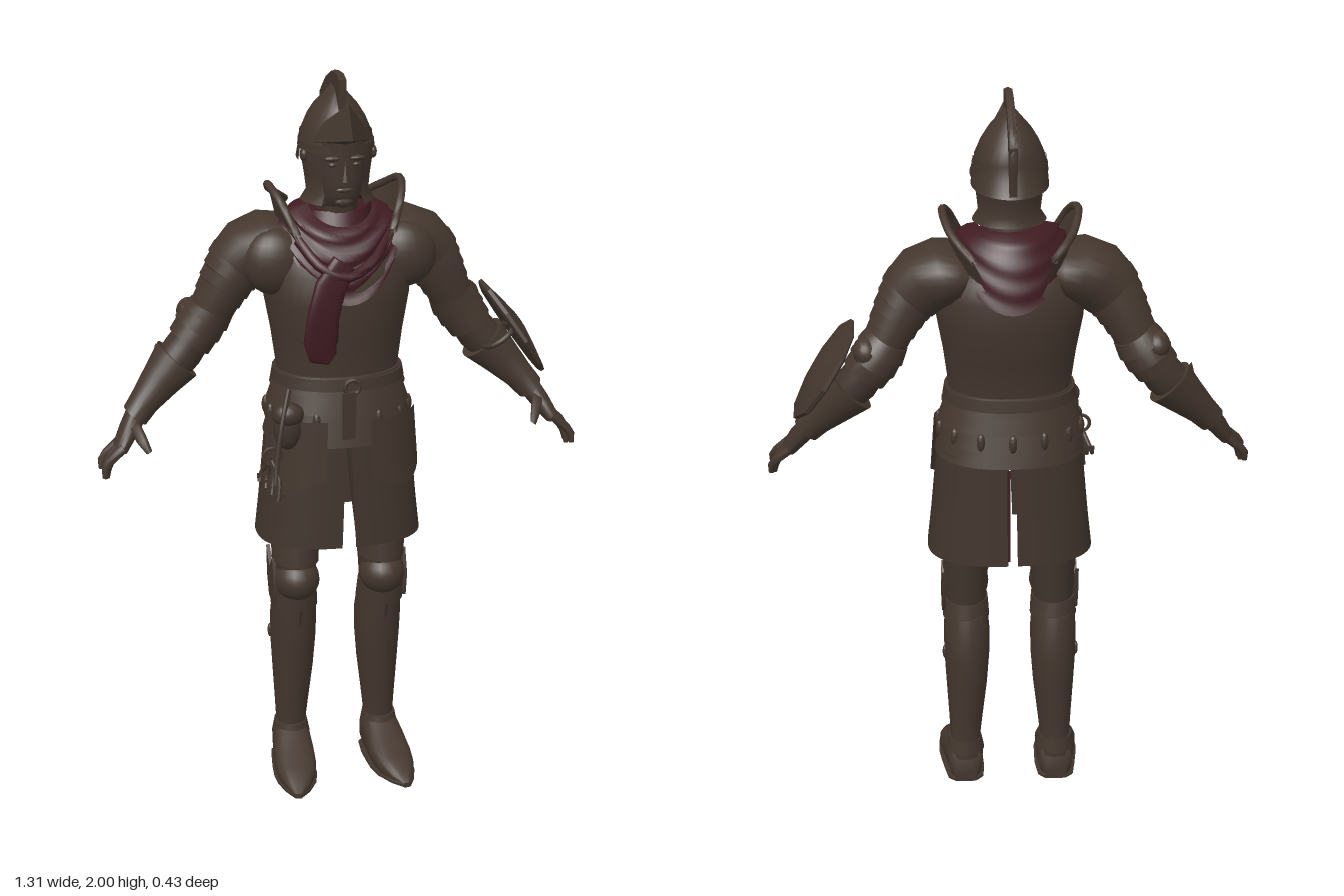
import * as THREE from 'three';
import { toCreasedNormals } from 'three/addons/utils/BufferGeometryUtils.js';
import { ConvexGeometry } from 'three/addons/geometries/ConvexGeometry.js';

const paint = (name, color) => new THREE.MeshStandardMaterial({ name, color, side: THREE.DoubleSide });
const V = (x, y, z) => new THREE.Vector3(x, y, z);

export function createModel() {
  const root = new THREE.Group();
  root.name = 'armouredFigure';
  const plate = paint('dark bronze plate', 0x44372e);
  const leather = paint('brown leather', 0x41352d);
  const skin = paint('dusky skin', 0x43362e);
  const red = paint('deep red cloth', 0x3f1b21);

  function add(name, geo, mat = plate, crease = 0.6) {
    const m = new THREE.Mesh(toCreasedNormals(geo, crease), mat);
    m.name = name;
    root.add(m);
  }

  // surface from a rule f(u, v) returning a point
  function grid(f, nu, nv) {
    const pos = [], idx = [];
    for (let j = 0; j <= nv; j++)
      for (let i = 0; i <= nu; i++) pos.push(...f(i / nu, j / nv).toArray());
    for (let j = 0; j < nv; j++)
      for (let i = 0; i < nu; i++) {
        const a = j * (nu + 1) + i, c = a + nu + 1;
        idx.push(a, c, a + 1, a + 1, c, c + 1);
      }
    const g = new THREE.BufferGeometry();
    g.setAttribute('position', new THREE.Float32BufferAttribute(pos, 3));
    g.setIndex(idx);
    return g;
  }
  // rounded-square version of a sine or cosine
  const square = (t, p) => Math.sign(t) * Math.pow(Math.abs(t), 2 / p);

  // skin over rings [x, y, z, radius across, radius in z], square to the path
  function loft(pts, { seg = 28, p = 2, caps = true, from = 0, to = Math.PI * 2 } = {}) {
    const rings = pts.map((q, i) => {
      const a = pts[Math.max(i - 1, 0)], b = pts[Math.min(i + 1, pts.length - 1)];
      const dx = b[0] - a[0], dy = b[1] - a[1], l = Math.hypot(dx, dy) || 1;
      return { c: V(q[0], q[1], q[2]), u: V(dy / l, -dx / l, 0), a: q[3], b: q[4] ?? q[3] };
    });
    if (caps) {
      rings.unshift({ ...rings[0], a: 0, b: 0 });
      rings.push({ ...rings[rings.length - 1], a: 0, b: 0 });
    }
    return grid((u, v) => {
      const r = rings[Math.round(v * (rings.length - 1))], t = from + (to - from) * u;
      const o = r.c.clone().addScaledVector(r.u, r.a * square(Math.cos(t), p));
      o.z += r.b * square(Math.sin(t), p);
      return o;
    }, seg, rings.length - 1);
  }

  // overlapping bands along a path of rings
  function lames(pts, n, flare = 1.07) {
    const at = t => {
      const k = Math.min(Math.floor(t * (pts.length - 1)), pts.length - 2), f = t * (pts.length - 1) - k;
      return pts[k].map((a, i) => a + (pts[k + 1][i] - a) * f);
    };
    const out = [];
    for (let i = 0; i < n; i++) {
      const a = at(i / n), b = at((i + 1) / n);
      out.push(a, [b[0], b[1], b[2], b[3] * flare, b[4] * flare]);
    }
    return out;
  }
  const flip = (s, pts) => pts.map(q => [q[0] * s, ...q.slice(1)]);
  const column = rows => rows.map(([y, x, z, a, b]) => [x, y, z, a, b]);
  const tube = (pts, r, n = 12) => new THREE.TubeGeometry(new THREE.CatmullRomCurve3(pts.map(q => V(...q))), n, r, 8);
  const ball = (x, y, z, a, b, c) => new THREE.SphereGeometry(1, 20, 14).scale(a, b, c).translate(x, y, z);
  // plate drawn in the side plane (z, y)
  const sidePlate = (pts, t, x) => new THREE.ExtrudeGeometry(new THREE.Shape(pts.map(q => new THREE.Vector2(...q))),
    { depth: t, bevelEnabled: false }).rotateY(-Math.PI / 2).translate(x + t / 2, 0, 0);

  // torso
  add('cuirass', loft(column([[1.15, 0, -.01, .168, .132], [1.2, 0, -.01, .165, .13], [1.3, 0, -.015, .178, .15],
    [1.4, 0, -.02, .196, .168], [1.48, 0, -.025, .202, .165], [1.53, 0, -.03, .18, .147], [1.58, 0, -.03, .13, .115],
    [1.61, 0, -.03, .08, .08]]), { seg: 40, p: 2.2 }), plate, 0.9);
  add('fauld', loft(lames(column([[1.2, 0, -.008, .167, .134], [1.1, 0, -.008, .186, .148], [1.01, 0, -.01, .195, .158]]), 4, 1.04)
    .reverse(), { seg: 40, p: 2.3 }));
  add('belt', loft(column([[1.165, 0, -.008, .181, .148], [1.195, 0, -.008, .176, .144]]), { seg: 40, p: 2.2 }), leather);
  add('buckle', new THREE.TorusGeometry(.02, .007, 8, 16).translate(.01, 1.178, .143));
  add('beltTail', new THREE.BoxGeometry(.035, .13, .01).translate(0, 1.1, .152), leather);
  for (let i = 0; i < 14; i++) {
    const t = (i + .5) / 14 * Math.PI * 2;
    add('fauldTab', ball(.195 * Math.cos(t), 1.08, -.01 + .156 * Math.sin(t), .011, .026, .011), leather);
  }

  // split skirt with a tasset over each front half
  const skirt = column([[1.03, 0, -.008, .196, .155], [.93, 0, -.008, .205, .157], [.82, 0, -.008, .215, .16], [.72, 0, -.008, .226, .163]]);
  for (const s of [1, -1]) {
    add('skirtHalf', grid((u, v) => {
      const q = skirt[Math.round(v * 3)], gap = .015 + .03 * v;
      const t = -Math.PI / 2 + .025 + u * (Math.PI - .025 - gap);
      return V(s * Math.max(q[3] * square(Math.cos(t), 2.5), .003 + .01 * v), q[1], q[2] + q[4] * square(Math.sin(t), 2.5));
    }, 28, 3), leather);
    add('tasset', grid((u, v) => {
      const t = .25 + 1.1 * u, low = .92 - .05 * (1 - Math.abs(2 * u - 1));
      return V(s * (.208 + .012 * v) * square(Math.cos(t), 2.4), 1.085 + (low - 1.085) * v, -.008 + (.164 + .006 * v) * square(Math.sin(t), 2.4));
    }, 12, 3));
  }
  add('skirtLining', new THREE.BoxGeometry(.007, .27, .004).translate(.011, .87, -.17), red);

  // head
  add('head', loft(column([[1.58, 0, -.02, .06, .06], [1.65, 0, -.01, .055, .06], [1.66, 0, .025, .045, .06],
    [1.69, 0, .02, .058, .074], [1.73, 0, .015, .067, .082], [1.78, 0, .01, .072, .088], [1.83, 0, .01, .074, .09]]), { p: 2.2 }), skin, 1);
  add('nose', new THREE.ConeGeometry(.014, .055, 8).scale(.9, 1, 1.2).translate(0, 1.757, .098), skin);
  add('mouth', ball(0, 1.705, .092, .024, .007, .007), skin);
  add('chin', ball(0, 1.672, .073, .028, .018, .02), skin);
  for (const s of [1, -1]) {
    add('brow', ball(s * .03, 1.79, .089, .025, .008, .01), skin);
    add('eye', ball(s * .03, 1.773, .086, .014, .007, .01), leather);
    add('cheekRivet', ball(s * .093, 1.785, .01, .01, .018, .018));
  }

  // helmet
  add('helmetBowl', loft(column([[1.8, 0, -.02, .098, .115], [1.84, 0, -.022, .093, .116], [1.88, 0, -.022, .076, .1],
    [1.91, 0, -.02, .057, .082], [1.935, 0, -.015, .035, .055], [1.96, 0, -.015, .014, .03]])), plate, 1);
  add('helmetBand', loft(column([[1.8, 0, -.02, .101, .118], [1.822, 0, -.02, .099, .118]])));
  add('cheekGuard', loft(column([[1.66, 0, -.005, .098, .092], [1.685, 0, -.005, .082, .084], [1.73, 0, -.008, .087, .092],
    [1.77, 0, -.01, .093, .1], [1.82, 0, -.015, .096, .108]]), { caps: false, from: Math.PI / 2 + .62, to: Math.PI * 2.5 - .62 }), plate, 0.9);
  add('napeGuard', loft(column([[1.765, 0, -.03, .102, .143], [1.8, 0, -.022, .099, .123], [1.84, 0, -.02, .095, .118]]),
    { caps: false, from: Math.PI - .1, to: Math.PI * 2 + .1 }));
  add('peak', new ConvexGeometry([[0, 1.945, .14], [0, 1.86, .19], [0, 1.9, .04], [0, 1.825, .09], [.088, 1.82, .03],
    [-.088, 1.82, .03], [.052, 1.875, .05], [-.052, 1.875, .05]].map(q => V(...q))), plate, 0.3);
  add('crest', sidePlate([[.065, 1.99], [.03, 2], [-.03, 1.995], [-.1, 1.965], [-.15, 1.93], [-.182, 1.905], [-.178, 1.84],
    [-.168, 1.77], [-.13, 1.8], [-.12, 1.86], [-.08, 1.9], [-.02, 1.92], [.06, 1.89]], .02, 0));
  add('crestRim', tube([[0, 1.985, .06], [0, 1.988, -.02], [0, 1.955, -.1], [0, 1.9, -.17], [0, 1.79, -.165]], .011, 20), plate, 1);

  // scarf draped round the neck, longest at front and back
  add('scarf', grid((u, v) => {
    const t = u * Math.PI * 2, c = Math.cos(t), n = Math.sin(t), k = Math.pow(v, n > 0 ? .47 : .36);
    const fold = (n > 0 ? .006 : .002) * Math.sin(v * 20 + 2 * c);
    const x = (.085 + .08 * Math.pow(v, .4) + fold) * c;
    const z = n > 0 ? (.075 + .08 * k + fold) * n : (.09 + .113 * k + fold) * n;
    return V(x, 1.65 - .05 * Math.max(n, 0) - v * (.06 + .13 * n * n), z);
  }, 48, 16), red, 1);
  add('scarfInside', loft(column([[1.57, 0, -.02, .1, .1], [1.635, 0, -.03, .09, .075]])), red);
  add('scarfTail', loft([[-.01, 1.52, .135, .035, .014], [-.05, 1.46, .148, .042, .016], [-.07, 1.38, .15, .043, .013],
    [-.076, 1.31, .146, .046, .013], [-.07, 1.28, .144, .043, .011], [-.045, 1.262, .142, .02, .008]], { p: 3 }), red);
  add('scarfFold', tube([[.125, 1.57, .06], [.07, 1.52, .128], [0, 1.485, .148], [-.07, 1.51, .136], [-.12, 1.57, .07]], .014), red, 1);

  for (const s of [1, -1]) {
    // shoulder
    add('pauldron', loft(flip(s, [[.12, 1.535, -.055, .05, .11], [.135, 1.54, -.055, .068, .122], [.18, 1.535, -.055, .085, .125],
      [.23, 1.512, -.052, .091, .106], [.265, 1.475, -.054, .084, .092]]), { p: 2.1 }), plate, 0.9);
    add('pauldronFront', ball(s * .175, 1.505, .03, .088, .09, .06), plate, 1);
    add('upperArmLames', loft(lames(flip(s, [[.25, 1.5, -.055, .083, .088], [.29, 1.435, -.06, .07, .077], [.33, 1.355, -.07, .056, .062]]), 5)));
    const fin = [[.085, 1.57, -.205, 1.61], [.14, 1.58, -.13, 1.66], [.16, 1.59, -.04, 1.695], [.145, 1.585, .04, 1.67], [.11, 1.54, .1, 1.59]];
    add('neckGuard', grid((u, v) => {
      const q = fin[Math.round(v * 4)];
      return V(s * (q[0] - .01 + .03 * u), q[1] - .02 + (q[3] - q[1] + .02) * u, q[2]);
    }, 1, 4), plate, 1);
    add('neckGuardRim', tube(fin.map(q => [s * (q[0] + .018), q[3], q[2]]), .011, 20), plate, 1);

    // arm
    add('arm', loft(flip(s, [[.3, 1.41, -.066, .055, .06], [.355, 1.31, -.085, .05, .054], [.41, 1.235, -.082, .056, .058],
      [.48, 1.16, -.062, .046, .048], [.54, 1.095, -.038, .033, .036]])), leather, 1);
    add('couter', loft(lames(flip(s, [[.325, 1.36, -.075, .06, .065], [.357, 1.31, -.09, .066, .07], [.39, 1.262, -.085, .058, .062]]), 3, 1.08)));
    add('couterWing', ball(s * .385, 1.335, -.11, .035, .04, .045));
    add('gauntletCuff', loft(flip(s, [[.425, 1.215, -.08, .07, .068], [.47, 1.168, -.066, .056, .056], [.52, 1.115, -.046, .042, .044],
      [.55, 1.08, -.03, .038, .044]])));
    add('cuffPoint', new ConvexGeometry([[.485, 1.265, -.07], [.46, 1.215, -.12], [.46, 1.215, -.02], [.52, 1.13, -.06], [.47, 1.19, -.07]]
      .map(q => V(s * q[0], q[1], q[2]))));

    // hand
    add('palm', loft(flip(s, [[.54, 1.095, -.035, .03, .034], [.572, 1.05, -.004, .026, .046], [.598, 1.01, .018, .02, .048]])), skin, 1);
    for (let i = 0; i < 4; i++) {
      const z = -.018 + i * .024, d = Math.abs(i - 1.6) * .008;
      add('finger', loft(flip(s, [[.593, 1.02, z, .013], [.622 + d, .985, z + .006, .012], [.634 + d, .955 + d, z + .01, .011],
        [.636 + d, .932 + d, z + .014, .007]]), { seg: 10 }), skin, 1);
    }
    add('thumb', loft(flip(s, [[.56, 1.07, .02, .016], [.545, 1.04, .055, .015], [.53, 1.015, .085, .009]]), { seg: 10 }), skin, 1);

    // leg
    add('thigh', loft(column([[.52, s * .122, -.005, .055, .068], [.62, s * .121, -.005, .06, .075], [.72, s * .12, -.005, .068, .09],
      [.85, s * .115, -.005, .078, .1], [1.03, s * .105, -.008, .08, .11]])), leather, 1);
    add('cuisse', loft(lames(column([[.73, s * .12, -.003, .066, .09], [.64, s * .121, .006, .062, .08]]), 3, 1.04).reverse()));
    add('poleyn', ball(s * .121, .585, .022, .064, .062, .072), plate, 1);
    add('kneeLame', loft(column([[.5, s * .122, -.012, .065, .078], [.555, s * .122, -.004, .061, .074]])));
    add('kneeWing', sidePlate([[.03, .51], [.045, .58], [.02, .65], [-.02, .61], [-.065, .655], [-.055, .57], [-.03, .52]], .01, s * .184));
    add('greave', loft(column([[.07, s * .127, -.045, .046, .048], [.13, s * .127, -.042, .042, .048], [.2, s * .125, -.04, .048, .056],
      [.3, s * .122, -.038, .057, .07], [.39, s * .121, -.036, .063, .08], [.46, s * .121, -.028, .064, .08], [.515, s * .122, -.018, .06, .074]])), plate, 1);
    add('greavePoint', new ConvexGeometry([[.07, .52, .03], [.174, .52, .03], [.07, .49, .025], [.174, .49, .025], [.122, .45, .055],
      [.122, .53, .068]].map(q => V(s * q[0], q[1], q[2]))), plate, 0.3);
    add('greaveHinge', ball(s * .184, .4, -.05, .006, .02, .01));
    add('ankleLame', loft(column([[.085, s * .128, -.038, .054, .058], [.125, s * .128, -.04, .046, .052]])));

    // pointed shoe, lofted heel to toe as [z, x, height, half width]
    const shoe = [[-.092, .128, .05, .03], [-.075, .128, .1, .047], [-.02, .13, .125, .054], [.03, .134, .1, .057],
      [.08, .138, .075, .058], [.13, .143, .056, .051], [.18, .15, .034, .031], [.212, .156, .014, .008]];
    add('shoe', loft(shoe.map(([z, x, h, w]) => [s * x, z, -h / 2, w, h / 2]), { p: 2.6 }).rotateX(Math.PI / 2));
    add('sole', loft(shoe.map(([z, x, , w]) => [s * x, z, -.007, w + .003, .007]), { p: 4 }).rotateX(Math.PI / 2), leather);
  }

  // small shield on the left forearm
  const shield = new THREE.Group();
  shield.name = 'shield';
  shield.position.set(.5, 1.26, -.04);
  shield.rotation.z = -.99;
  const disc = new THREE.LatheGeometry([[0, -.008], [.14, -.014], [.152, -.008], [.152, .002], [.08, .016], [.03, .024], [0, .026]]
    .map(q => new THREE.Vector2(...q)), 10);
  shield.add(Object.assign(new THREE.Mesh(toCreasedNormals(disc, .3), plate), { name: 'shieldDisc' }));
  const grip = new THREE.Mesh(new THREE.TorusGeometry(.05, .008, 8, 20).rotateY(Math.PI / 2), leather);
  grip.name = 'shieldStrap';
  grip.position.y = -.05;
  shield.add(grip);
  root.add(shield);

  // pouch and keys on the right hip
  add('pouch', ball(-.16, 1.07, .115, .04, .065, .032), leather);
  add('pouchFlap', ball(-.16, 1.105, .12, .043, .035, .034), leather);
  add('hangingStrap', tube([[-.16, 1.18, .13], [-.185, 1.08, .155], [-.2, .98, .165], [-.205, .93, .175]], .007), leather);
  add('keyRing', new THREE.TorusGeometry(.024, .005, 6, 18).translate(-.21, 1.0, .15));
  for (let i = 0; i < 4; i++) {
    const x = -.195 - i * .013, z = .175 - i * .022;
    add('key', tube([[-.21, .99, .15], [x, .94, z], [x - .006, .885 + i * .012, z + .012]], .006, 6));
    add('keyBit', new THREE.BoxGeometry(.022, .014, .006).translate(x, .9 + i * .012, z + .008));
  }
  return root;
}
